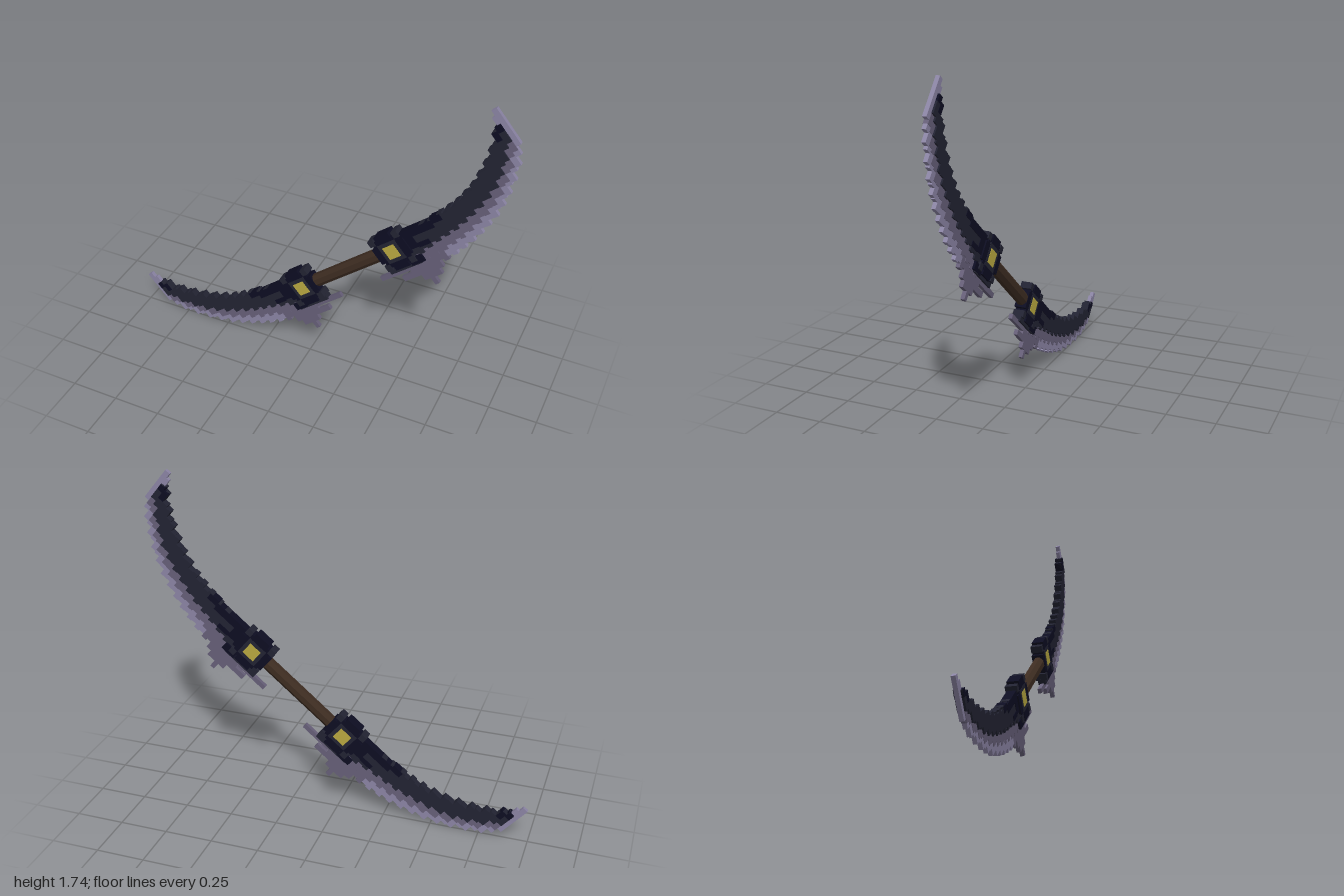
import * as THREE from 'three';

const mat = (name, color) => Object.assign(new THREE.MeshStandardMaterial({ color }), { name });
const slate = mat('slate steel', 0x222332);
const navy = mat('dark navy', 0x0d0d22);
const lilac = mat('pale edge', 0x8b84a4);
const mauve = mat('dull edge', 0x665f78);
const gold = mat('gold', 0xb8a840);
const brown = mat('brown grip', 0x3d2c21);

// Blade profile: distance along the grip, back, bevel line, cutting edge
const PROFILE = [
  [0.38, 0.06, -0.08, -0.15], [0.55, 0.065, -0.04, -0.145], [0.70, 0.085, -0.015, -0.112],
  [0.80, 0.105, 0.015, -0.078], [0.90, 0.145, 0.05, -0.035], [1.00, 0.20, 0.10, 0.025],
  [1.10, 0.275, 0.18, 0.105], [1.18, 0.365, 0.275, 0.185],
];

function profileAt(u) {
  let i = 0;
  while (i < PROFILE.length - 2 && u > PROFILE[i + 1][0]) i++;
  const a = PROFILE[i], b = PROFILE[i + 1];
  const t = (u - a[0]) / (b[0] - a[0]);
  return [1, 2, 3].map((k) => a[k] + (b[k] - a[k]) * t);
}

// One end of the weapon; side = 1 or -1 mirrors it along the grip
function createEnd(side) {
  const end = new THREE.Group();
  const slab = (name, material, u0, u1, v0, v1, halfZ) => {
    const mesh = new THREE.Mesh(new THREE.BoxGeometry(u1 - u0, v1 - v0, halfZ * 2), material);
    mesh.position.set(side * (u0 + u1) / 2, (v0 + v1) / 2, 0);
    mesh.name = name;
    end.add(mesh);
  };

  // Stepped blade, built from narrow columns with a toothed outline
  const step = 0.03;
  for (let i = 0; i < 27; i++) {
    const u0 = 0.375 + i * step, u1 = u0 + step;
    const [back, bevel, edge] = profileAt(u0 + step / 2);
    const tooth = i % 2 ? 0.007 : -0.007;
    const middle = bevel + (edge - bevel) * 0.55;
    slab('bladeBody', slate, u0, u1, bevel + tooth, back + tooth, 0.02);
    slab('bladeBevel', mauve, u0, u1, middle + tooth, bevel + tooth, 0.012);
    slab('bladeEdge', i < 6 ? mauve : lilac, u0, u1, edge - tooth, middle + tooth, 0.01);
    if (i > 24) slab('bladeTipShade', navy, u0, u1, back - 0.04, back + tooth, 0.021);
  }
  slab('bladeTip', lilac, 1.183, 1.211, 0.225, 0.415, 0.01);
  slab('bladeTip', lilac, 1.165, 1.185, 0.19, 0.385, 0.01);

  // Dark scroll at the root of the blade
  slab('rootScroll', navy, 0.38, 0.60, 0.03, 0.07, 0.023);
  slab('rootScroll', navy, 0.38, 0.46, -0.03, 0.03, 0.023);
  slab('rootScroll', navy, 0.46, 0.53, -0.035, -0.01, 0.023);
  slab('rootScroll', navy, 0.36, 0.44, -0.11, -0.07, 0.023);
  slab('rootScroll', navy, 0.60, 0.66, 0.05, 0.082, 0.022);

  // Swept-back barbs under the guard
  slab('barb', mauve, 0.14, 0.42, -0.135, -0.11, 0.01);
  slab('barbSpine', slate, 0.22, 0.42, -0.115, -0.085, 0.02);
  slab('barb', mauve, 0.255, 0.50, -0.178, -0.15, 0.01);
  slab('barb', mauve, 0.32, 0.50, -0.152, -0.133, 0.01);
  slab('barb', mauve, 0.36, 0.47, -0.21, -0.176, 0.01);
  slab('barb', mauve, 0.395, 0.42, -0.25, -0.205, 0.01);

  // Notched square guard
  const c = 0.3125;
  slab('guard', navy, c - 0.075, c + 0.08, -0.078, 0.078, 0.028);
  slab('guardLobe', navy, c - 0.045, c + 0.045, -0.1, 0.1, 0.03);
  slab('guardLobe', navy, c - 0.095, c + 0.1, -0.045, 0.045, 0.03);
  for (const a of [-1, 1]) for (const b of [-1, 1]) {
    const u = c + a * 0.075, v = b * 0.075;
    slab('guardCorner', slate, u - 0.017, u + 0.017, v - 0.017, v + 0.017, 0.029);
  }
  slab('guardPlate', slate, c - 0.055, c + 0.055, -0.055, 0.055, 0.031);
  slab('gem', gold, c - 0.035, c + 0.035, -0.035, 0.035, 0.033);
  end.name = side > 0 ? 'upperBlade' : 'lowerBlade';
  return end;
}

export function createModel() {
  const model = new THREE.Group();
  model.name = 'doubleBlade';

  // Faceted grip lying along the axis
  const gripGeometry = new THREE.CylinderGeometry(0.036, 0.036, 0.5, 8);
  gripGeometry.rotateY(Math.PI / 8).rotateZ(Math.PI / 2).scale(1, 1, 0.85);
  brown.flatShading = true;
  const grip = new THREE.Mesh(gripGeometry, brown);
  grip.name = 'grip';

  const weapon = new THREE.Group();
  weapon.name = 'weapon';
  weapon.add(grip, createEnd(1), createEnd(-1));
  weapon.rotation.z = THREE.MathUtils.degToRad(40);
  weapon.position.set(0.205, 0.65, 0);
  model.add(weapon);
  return model;
}
